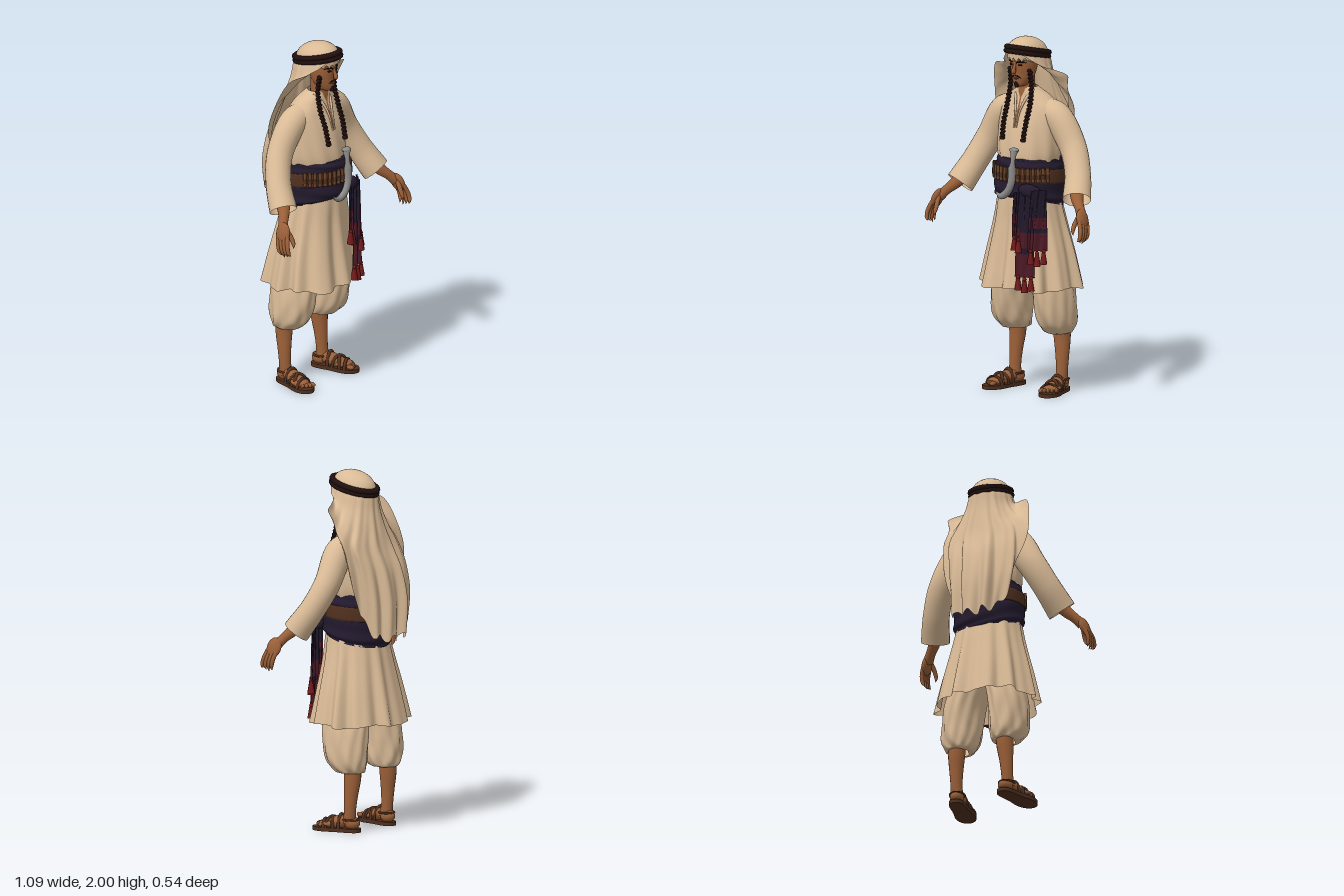
import * as THREE from 'three';
import { ParametricGeometry } from 'three/addons/geometries/ParametricGeometry.js';

const paint = (name, color, side = THREE.FrontSide) => {
  const m = new THREE.MeshStandardMaterial({ color, side });
  m.name = name;
  return m;
};
const { sin, cos, exp, PI, abs } = Math;

// Smooth interpolation through rows of numbers, t from 0 to 1
function sample(rows, t) {
  const f = t * (rows.length - 1), i = Math.min(Math.floor(f), rows.length - 2), k = f - i;
  const at = (j) => rows[Math.max(0, Math.min(rows.length - 1, j))];
  return rows[i].map((b, c) => {
    const a = at(i - 1)[c], d = at(i + 1)[c], e = at(i + 2)[c];
    return b + 0.5 * k * (d - a + k * (2 * a - 5 * b + 4 * d - e + k * (3 * (b - d) + e - a)));
  });
}

// Elliptical shell through rows [y, xc, zc, rx, rz]; fold(a, v) scales the radius, drop(a, v) shifts y
function shell(rows, nu, nv, fold = () => 1, drop = () => 0, span = () => [0, 2 * PI]) {
  return new ParametricGeometry((u, v, p) => {
    const row = sample(rows, v), [y, xc, zc, rx, rz] = row, [a0, a1] = span(v, row);
    const a = a0 + (a1 - a0) * u, r = fold(a, v);
    p.set(xc + sin(a) * rx * r, y + drop(a, v), zc + cos(a) * rz * r);
  }, nu, nv);
}

// Tube through points [x, y, z, radius]; flat squashes its depth
function limb(pts, seg = 16, n = 12, flat = 1) {
  const curve = new THREE.CatmullRomCurve3(pts.map((p) => new THREE.Vector3(p[0], p[1], p[2])));
  const g = new THREE.TubeGeometry(curve, seg, 1, n), pos = g.attributes.position, v = new THREE.Vector3();
  for (let i = 0; i <= seg; i++) {
    const c = curve.getPointAt(i / seg), r = sample(pts, curve.getUtoTmapping(i / seg))[3];
    for (let j = 0; j <= n; j++) {
      const k = i * (n + 1) + j;
      v.fromBufferAttribute(pos, k).sub(c).multiplyScalar(r);
      pos.setXYZ(k, v.x + c.x, v.y + c.y, v.z * flat + c.z);
    }
  }
  return g;
}

export function createModel() {
  const cloth = paint('cream cloth', 0xdabb97, THREE.DoubleSide);
  const skin = paint('skin', 0x9a5f38);
  const navy = paint('navy sash', 0x231a2e, THREE.DoubleSide);
  const maroon = paint('maroon weave', 0x4e1a26, THREE.DoubleSide);
  const red = paint('red tassel', 0x741a1a);
  const dark = paint('dark cord', 0x200f0e);
  const leather = paint('leather', 0x50301f, THREE.DoubleSide);
  const brass = paint('cartridge brown', 0x6e4428);
  const silver = paint('silver', 0x8b8987);

  const root = new THREE.Group();
  const add = (name, geo, mat, pos = [0, 0, 0], scale = [1, 1, 1], rot = [0, 0, 0], parent = root) => {
    const m = new THREE.Mesh(geo, mat);
    m.name = name;
    m.position.set(...pos); m.scale.set(...scale); m.rotation.set(...rot);
    parent.add(m);
    return m;
  };
  const ball = new THREE.SphereGeometry(1, 20, 14);
  const bead = new THREE.SphereGeometry(1, 10, 6);

  // Tunic body, bloused over the sash, and flared, pleated skirt
  const torso = [[1.27, 0, 0.015, 0.165, 0.15], [1.36, 0, 0.01, 0.188, 0.157], [1.5, 0, 0.005, 0.19, 0.138],
    [1.6, 0, 0, 0.183, 0.112], [1.66, 0, 0.005, 0.135, 0.088], [1.7, 0, 0.02, 0.08, 0.068], [1.72, 0, 0.03, 0.058, 0.055]];
  add('tunicBody', shell(torso, 64, 30, (a, v) => 1 + 0.03 * (1 - v) ** 2 * sin(11 * a + 7 * v)), cloth);
  const wide = (v) => Math.max(0.03, v - 0.5);
  add('neckOpening', shell(torso.slice(2), 8, 16, () => 1.03, () => 0, (v) => [-wide(v), wide(v)]), skin);
  for (const s of [-1, 1]) add('collarEdge', limb([[s * 0.008, 1.5, 0.147, 0.004], [s * 0.015, 1.59, 0.123, 0.006],
    [s * 0.036, 1.66, 0.092, 0.008], [s * 0.058, 1.71, 0.052, 0.008]], 12, 8), cloth);
  const skirt = [[0.6, 0, -0.012, 0.295, 0.248], [0.78, 0, -0.008, 0.258, 0.212], [0.95, 0, 0, 0.215, 0.182],
    [1.08, 0, 0.01, 0.188, 0.165], [1.18, 0, 0.01, 0.175, 0.16]];
  add('skirt', shell(skirt, 140, 20, (a, v) => 1 + (1 - v) * (0.06 * sin(11 * a + 0.6) + 0.035 * sin(17 * a + 2) - 0.02
    + 0.13 * exp(-(((a - 5.66) / 0.16) ** 2))), (a, v) => (1 - v) * 0.008 * sin(5 * a + 1)), cloth);

  // Wrapped sash and leather belt with cartridges
  const back = (a) => (1 - cos(a)) / 2;
  add('waistSash', shell([[1.11, 0, 0.005, 0.188, 0.17], [1.14, 0, 0.01, 0.2, 0.19], [1.24, 0, 0.01, 0.193, 0.187],
    [1.31, 0, 0.01, 0.186, 0.18], [1.33, 0, 0.01, 0.168, 0.16]], 64, 32,
    (a, v) => 1 + 0.018 * sin(28 * v + 3 * sin(a) + cos(2 * a)), (a, v) => -0.085 * back(a) * (1 - v)), navy);
  add('belt', shell([[1.205, 0, 0.01, 0.196, 0.186], [1.21, 0, 0.01, 0.202, 0.194], [1.275, 0, 0.01, 0.199, 0.192],
    [1.28, 0, 0.01, 0.193, 0.186]], 48, 8, () => 1, (a) => -0.03 * back(a)), leather);
  const round = new THREE.CylinderGeometry(0.0095, 0.0095, 0.08, 10);
  const loop = new THREE.CylinderGeometry(0.0115, 0.0115, 0.025, 10);
  for (let i = -8; i <= 8; i++) {
    const a = i * 0.145, x = sin(a) * 0.2, z = 0.01 + cos(a) * 0.196;
    add('cartridge', round, brass, [x, 1.245, z]);
    add('cartridgeLoop', loop, leather, [x, 1.235, z]);
  }

  // Curved dagger
  add('scabbard', limb([[0.035, 1.29, 0.219, 0.024], [0.03, 1.2, 0.222, 0.023], [0, 1.145, 0.222, 0.022],
    [-0.045, 1.12, 0.217, 0.018], [-0.088, 1.138, 0.208, 0.003]], 24, 14, 0.8), silver);
  add('daggerHilt', limb([[0.035, 1.28, 0.219, 0.022], [0.036, 1.32, 0.214, 0.013], [0.037, 1.36, 0.208, 0.017],
    [0.038, 1.385, 0.204, 0.026]], 12, 14), silver);
  add('daggerPommel', ball, silver, [0.038, 1.387, 0.204], [0.029, 0.012, 0.024]);

  // Hanging sash ends with tassels
  const hang = (x, w, y0, y1, z0, z1, split, turn) => {
    const strip = (t0, t1) => new ParametricGeometry((u, v, p) => {
      const t = t1 + (t0 - t1) * v, q = u - 0.5;
      p.set(x + q * w * (0.7 + 0.3 * t), y0 + (y1 - y0) * t, z0 + (z1 - z0) * t + 0.008 * sin(u * 14 + t * 3) - q * w * turn);
    }, 20, 14);
    add('sashEnd', strip(0, split), navy);
    add('sashEndBand', strip(split, split + 0.18), maroon);
    add('sashEndStripe', strip(split + 0.18, split + 0.25), navy);
    add('sashEndHem', strip(split + 0.25, 1), maroon);
    const n = Math.max(2, Math.round(w / 0.034));
    for (let i = 0; i < n; i++) {
      const q = (i + 0.5) / n - 0.5, tz = z1 - q * w * turn, ty = y1 - 0.012 * (i % 2);
      add('tasselKnot', bead, red, [x + q * w, ty, tz], [0.011, 0.012, 0.011]);
      add('tassel', new THREE.CylinderGeometry(0.01, 0.021, 0.065, 10), red, [x + q * w, ty - 0.04, tz]);
    }
  };
  hang(0.12, 0.115, 1.16, 0.68, 0.2, 0.218, 0.48, 0.2);
  hang(0.065, 0.05, 1.15, 0.9, 0.212, 0.22, 0.5, 0.2);
  hang(0.185, 0.085, 1.17, 0.83, 0.165, 0.188, 0.45, 0.8);
  add('sashKnot', ball, navy, [0.125, 1.155, 0.17], [0.07, 0.04, 0.035], [0, 0.5, -0.3]);

  for (const s of [-1, 1]) {
    // Sleeve, forearm and hand
    const L = (pts) => pts.map(([x, ...r]) => [s * x, ...r]);
    const sleeve = limb(L([[0.09, 1.59, 0, 0.075], [0.18, 1.555, -0.003, 0.087], [0.285, 1.4, -0.008, 0.08],
      [0.355, 1.26, 0.04, 0.077], [0.405, 1.135, 0.115, 0.083]]), 28, 20, 0.86);
    add('sleeve', sleeve, cloth);
    add('forearm', limb(L([[0.36, 1.24, 0.06, 0.045], [0.42, 1.14, 0.13, 0.034], [0.46, 1.1, 0.16, 0.027],
      [0.495, 1.06, 0.185, 0.03]]), 12, 14), skin);
    add('palm', ball, skin, [s * 0.503, 1.05, 0.193], [0.023, 0.058, 0.046], [-0.15, 0, s * 0.3]);
    for (let k = 0; k < 4; k++) add('finger', limb(L([[0.51, 1.04, 0.165 + 0.021 * k, 0.012],
      [0.53, 0.985, 0.18 + 0.022 * k, 0.012], [0.529, 0.945, 0.19 + 0.022 * k, 0.01],
      [0.517, 0.917 + 0.008 * abs(k - 1), 0.196 + 0.021 * k, 0.001]]), 10, 8), skin);
    add('thumb', limb(L([[0.488, 1.07, 0.2, 0.014], [0.478, 1.02, 0.232, 0.013], [0.478, 0.985, 0.248, 0.01],
      [0.483, 0.965, 0.25, 0.001]]), 10, 8), skin);

    // Baggy trouser leg
    const leg = [[0.33, s * 0.148, -0.065, 0.05, 0.06], [0.34, s * 0.148, -0.06, 0.076, 0.085], [0.39, s * 0.152, -0.042, 0.098, 0.118],
      [0.48, s * 0.15, -0.028, 0.104, 0.136], [0.6, s * 0.138, -0.02, 0.102, 0.142], [0.75, s * 0.1, -0.01, 0.1, 0.13]];
    add('trouserLeg', shell(leg, 64, 32, (a, v) => 1 + 0.055 * (1 - v) * sin(7 * a + s * 11 * v) + 0.025 * sin(11 * a - s * 8 * v)), cloth);

    // Shin, foot and sandal
    add('shin', limb([[s * 0.15, 0.42, -0.075, 0.048], [s * 0.154, 0.31, -0.083, 0.048], [s * 0.16, 0.2, -0.076, 0.038],
      [s * 0.162, 0.11, -0.07, 0.033], [s * 0.16, 0.05, -0.065, 0.04]], 16, 16), skin);
    const foot = new THREE.Group();
    foot.name = 'foot';
    foot.position.set(s * 0.16, 0, -0.06);
    foot.rotation.y = s * 0.22;
    root.add(foot);
    const part = (n, g, m, p, sc, r) => add(n, g, m, p, sc, r, foot);
    part('heel', ball, skin, [0, 0.05, -0.02], [0.038, 0.036, 0.046]);
    part('instep', ball, skin, [0, 0.052, 0.06], [0.041, 0.036, 0.1], [0.22, 0, 0]);
    part('forefoot', ball, skin, [s * 0.004, 0.04, 0.12], [0.049, 0.022, 0.06]);
    for (let k = 0; k < 5; k++) part('toe', bead, skin,
      [s * (-0.034 + k * 0.019), 0.035, 0.185 - k * k * 0.0025], [k ? 0.01 : 0.014, 0.013, 0.024]);
    const sole = new THREE.Shape();
    sole.moveTo(0, -0.07);
    sole.bezierCurveTo(0.06, -0.07, 0.038, 0.02, 0.05, 0.09);
    sole.bezierCurveTo(0.068, 0.16, 0.045, 0.215, 0, 0.22);
    sole.bezierCurveTo(-0.05, 0.215, -0.068, 0.16, -0.05, 0.09);
    sole.bezierCurveTo(-0.038, 0.02, -0.06, -0.07, 0, -0.07);
    const slab = new THREE.ExtrudeGeometry(sole, { depth: 0.022, bevelEnabled: false, curveSegments: 12 });
    part('sandalSole', slab, leather, [0, 0.022, 0], [1, 1, 1], [PI / 2, 0, 0]);
    const strap = new THREE.TorusGeometry(1, 0.13, 8, 20, PI);
    for (const [z, w, h, turn] of [[0.145, 0.053, 0.047, 0.2], [0.1, 0.051, 0.062, 0.45], [0.1, 0.051, 0.062, -0.45], [0.045, 0.044, 0.077, 0]])
      part('sandalStrap', strap, leather, [0, 0.02, z], [w, h, 0.075], [0, turn, 0]);
    part('heelStrap', new THREE.TorusGeometry(0.041, 0.006, 8, 24), leather, [0, 0.07, -0.01], [1, 1.1, 1], [PI / 2, 0, 0]);

    // Braided cord hanging beside the face
    const path = new THREE.CatmullRomCurve3([[0.068, 1.82, 0.1], [0.072, 1.74, 0.09], [0.078, 1.63, 0.112], [0.076, 1.53, 0.148],
      [0.072, 1.44, 0.168]].map(([x, y, z]) => new THREE.Vector3(s * x, y, z)));
    for (let i = 0; i <= 36; i++) {
      const p = path.getPointAt(i / 36), o = (i % 2 - 0.5) * 0.007;
      add('braidStrand', bead, dark, [p.x + o, p.y, p.z], [0.012, 0.011, 0.014], [0, 0, o * 80]);
    }
    add('braidTip', bead, dark, [s * 0.072, 1.438, 0.168], [0.016, 0.012, 0.016]);

    // Brow, eye and moustache
    add('eyebrow', limb([[s * 0.012, 1.866, 0.152, 0.003], [s * 0.035, 1.874, 0.142, 0.006], [s * 0.058, 1.866, 0.12, 0.002]], 8, 6), dark);
    add('eye', bead, dark, [s * 0.03, 1.853, 0.139], [0.013, 0.005, 0.008], [0, s * 0.4, 0]);
    add('moustache', limb([[0, 1.792, 0.146, 0.003], [s * 0.016, 1.789, 0.142, 0.004], [s * 0.03, 1.776, 0.13, 0.001]], 8, 6), dark);
  }

  // Head
  add('head', shell([[1.725, 0, 0.1, 0.006, 0.006], [1.735, 0, 0.09, 0.034, 0.042], [1.765, 0, 0.078, 0.054, 0.061],
    [1.8, 0, 0.068, 0.066, 0.073], [1.86, 0, 0.06, 0.074, 0.086], [1.93, 0, 0.05, 0.07, 0.085]], 32, 20), skin);
  add('neck', new THREE.CylinderGeometry(0.047, 0.05, 0.16, 20), skin, [0, 1.71, 0.04]);
  add('nose', limb([[0, 1.868, 0.142, 0.007], [0, 1.835, 0.155, 0.01], [0, 1.815, 0.16, 0.014], [0, 1.803, 0.146, 0.002]], 12, 10), skin);
  add('lips', bead, brass, [0, 1.776, 0.137], [0.018, 0.006, 0.008]);
  add('goatee', ball, dark, [0, 1.742, 0.13], [0.014, 0.02, 0.014]);

  // Draped headcloth: crown, brow fringe and folds falling down the back
  const drape = [[1.13, -0.03, 0, 0.23, 0.24, 0.95], [1.3, -0.035, 0, 0.258, 0.238, 1.15], [1.46, -0.025, 0, 0.265, 0.21, 1.35],
    [1.59, -0.005, 0, 0.255, 0.165, 1.58], [1.69, 0, 0.01, 0.19, 0.15, 1.8], [1.79, 0, 0.025, 0.138, 0.145, 1.98],
    [1.875, 0, 0.03, 0.115, 0.143, 2.45], [1.925, 0, 0.03, 0.102, 0.134, 3.14]];
  add('headclothDrape', shell(drape, 110, 40,
    (a, v) => 1 + Math.min(1, 1.15 * (1 - v)) * (0.065 * sin(13 * a + 2 * v) + 0.03 * sin(22 * a + 1 - 3 * v)),
    (a, v) => (1 - v) ** 3 * (0.18 * (a - PI) ** 4 + 0.02 * sin(17 * a) - 0.05) + 0.035 * cos(a) * Math.max(0, v - 0.8) * 5,
    (v, row) => [PI - row[5], PI + row[5]]), cloth);
  add('browFringe', shell([[1.885, 0, 0.05, 0.088, 0.112], [1.935, 0, 0.035, 0.1, 0.13]], 40, 6,
    (a, v) => 1 + 0.025 * (1 - v) * sin(18 * a), (a, v) => 0.01 * (1 - v) * sin(18 * a + 1), () => [-1.5, 1.5]), cloth);
  const crown = new THREE.Group();
  crown.name = 'crown';
  crown.position.set(0, 1.912, 0.03);
  crown.rotation.x = -0.23;
  root.add(crown);
  add('headclothCrown', ball, cloth, [0, 0, 0], [0.103, 0.085, 0.133], [0, 0, 0], crown);
  for (const y of [-0.011, 0.011])
    add('headRing', new THREE.TorusGeometry(0.103, 0.0155, 10, 56), dark, [0, y, 0], [1, 1.33, 1], [PI / 2, 0, 0], crown);

  return root;
}
